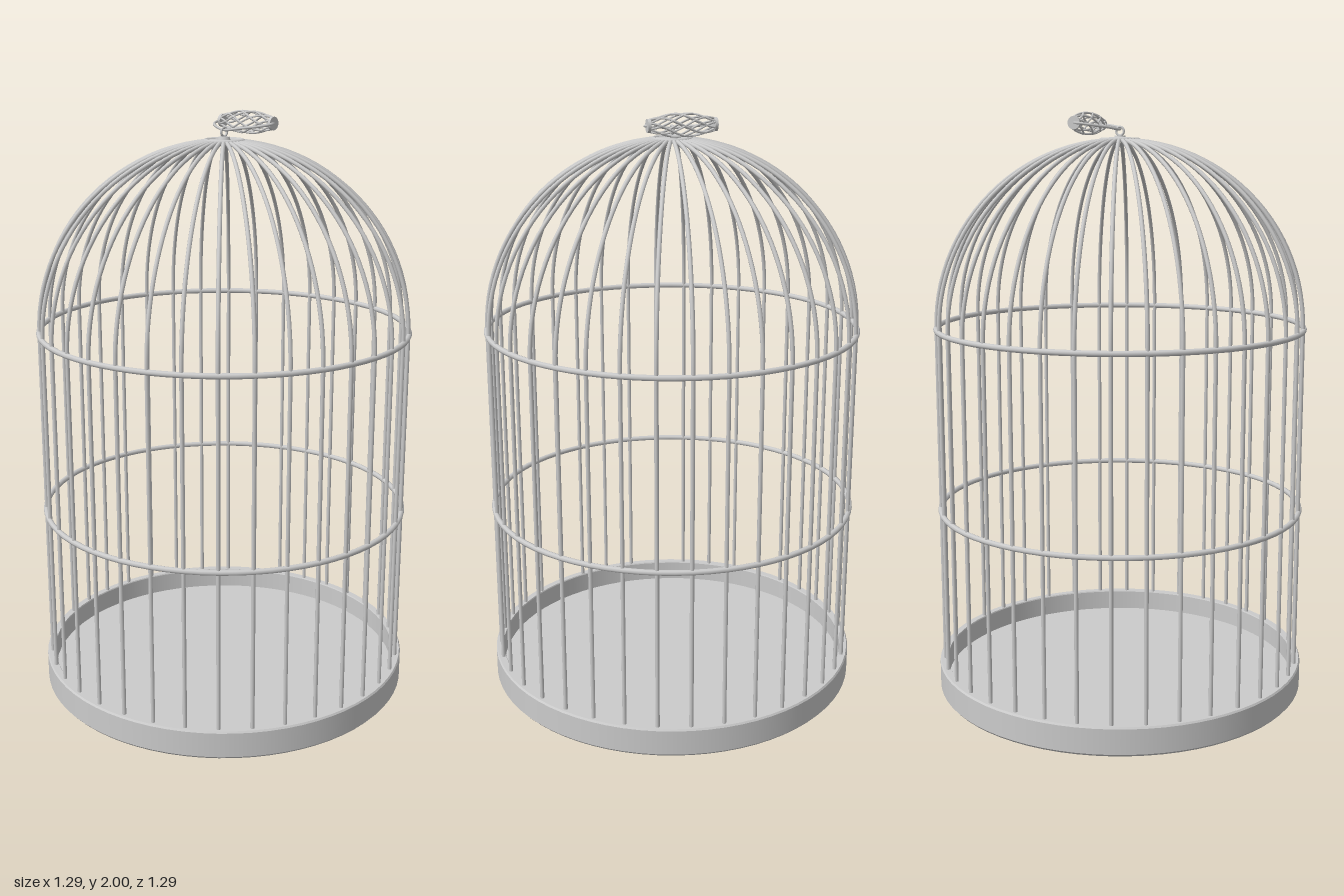
import * as THREE from 'three';

const R = 0.626;          // cage radius
const BARS = 36;
const SPRING = 1.28;      // height where the dome starts

export function createModel() {
  const model = new THREE.Group();
  const mat = new THREE.MeshStandardMaterial({ color: 0xcccccc });
  const v = (x, y, z) => new THREE.Vector3(x, y, z);
  const add = (parent, name, geo, x = 0, y = 0, z = 0) => {
    const m = new THREE.Mesh(geo, mat);
    m.name = name;
    m.position.set(x, y, z);
    parent.add(m);
    return m;
  };
  const wire = (points, r, segs = 24) =>
    new THREE.TubeGeometry(new THREE.CatmullRomCurve3(points), segs, r, 6);
  // Lathe with hard corners: one strip per pair of profile points
  const lathe = (parent, name, pts, segs) => {
    const group = new THREE.Group();
    group.name = name;
    for (let i = 0; i + 1 < pts.length; i++) {
      const pair = [pts[i], pts[i + 1]].map(p => new THREE.Vector2(...p));
      add(group, name + 'Surface', new THREE.LatheGeometry(pair, segs));
    }
    parent.add(group);
    return group;
  };

  // Open tray with a recessed floor
  lathe(model, 'tray', [
    [0, 0], [0.638, 0], [0.645, 0.008], [0.645, 0.094], [0.641, 0.1],
    [0.618, 0.1], [0.616, 0.096], [0.616, 0.025], [0, 0.025],
  ], 72);

  // Upright bars, each continued by a dome rib
  const barGeo = new THREE.CylinderGeometry(0.007, 0.007, SPRING - 0.02, 8, 1, true);
  const ribGeo = new THREE.TorusGeometry(R, 0.007, 8, 24, Math.acos(0.06 / R));
  for (let i = 0; i < BARS; i++) {
    const spoke = new THREE.Group();
    spoke.name = 'cageBar';
    spoke.rotation.y = (i / BARS) * Math.PI * 2;
    add(spoke, 'uprightBar', barGeo, R, (SPRING + 0.02) / 2, 0);
    add(spoke, 'domeRib', ribGeo, 0, SPRING, 0);
    model.add(spoke);
  }

  // Horizontal hoops
  for (const y of [0.648, 1.278]) {
    add(model, 'hoop', new THREE.TorusGeometry(R + 0.002, 0.0095, 8, 72), 0, y, 0)
      .rotation.x = Math.PI / 2;
  }

  // Crown plate with a rolled edge and a small centre boss
  add(model, 'crownPlate', new THREE.CylinderGeometry(0.062, 0.062, 0.008, 32), 0, 1.904, 0);
  add(model, 'crownEdge', new THREE.TorusGeometry(0.062, 0.008, 8, 32), 0, 1.905, 0)
    .rotation.x = Math.PI / 2;
  add(model, 'crownBoss', new THREE.CylinderGeometry(0.018, 0.022, 0.012, 20), 0, 1.913, 0);

  // Eyelet that holds the bail
  add(model, 'eyelet', new THREE.TorusGeometry(0.014, 0.004, 8, 20), 0, 1.934, 0)
    .rotation.y = Math.PI / 2;

  // Carrying handle folded towards the back
  const handle = new THREE.Group();
  handle.name = 'handle';
  handle.position.set(0, 1.96, -0.118);
  model.add(handle);

  // Bail wire from one handle end, through the eyelet, to the other
  add(handle, 'bail', wire([
    v(-0.112, 0, 0), v(-0.116, -0.002, 0.02), v(-0.1, -0.007, 0.055), v(-0.05, -0.014, 0.096),
    v(0, -0.02, 0.114),
    v(0.05, -0.014, 0.096), v(0.1, -0.007, 0.055), v(0.116, -0.002, 0.02), v(0.112, 0, 0),
  ], 0.0045, 48));

  // Basket grip: wires twisting both ways around a barrel
  const HALF = 0.11;
  for (const dir of [-1, 1]) {
    for (let k = 0; k < 6; k++) {
      const pts = [];
      for (let i = 0; i <= 12; i++) {
        const t = i / 12;
        const a = (k / 6) * Math.PI * 2 + dir * t * Math.PI;
        const r = 0.018 + 0.0185 * Math.sin(Math.PI * t);
        pts.push(v((t * 2 - 1) * HALF, Math.cos(a) * r, Math.sin(a) * r));
      }
      add(handle, 'gripWire', wire(pts, 0.0035));
    }
  }
  // End caps of the grip
  for (const s of [-1, 1]) {
    add(handle, 'gripCap', new THREE.CylinderGeometry(0.022, 0.022, 0.01, 20), s * HALF, 0, 0)
      .rotation.z = Math.PI / 2;
  }
  return model;
}
